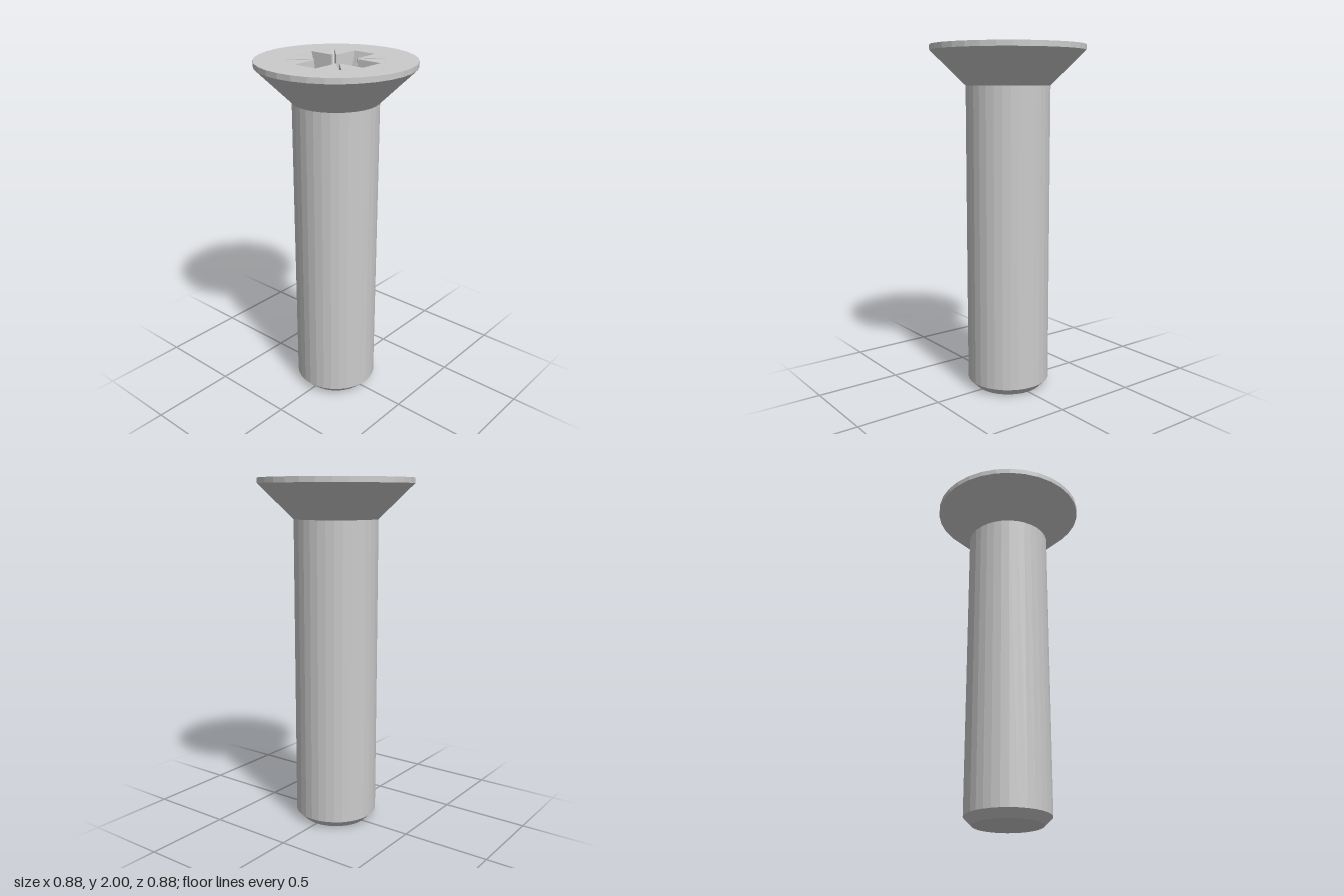
import * as THREE from 'three';

const SIDES = 32;
const HEIGHT = 2;
const SLOT_DEPTH = 0.12;
const FLOOR_DEPTH = 0.25;
const TIP_DEPTH = 0.31;

// Closed outline of the drive recess at a given depth: four tapered arms,
// four thin diagonal slots and a round centre. Closing an arm or slot pulls
// its end back onto the centre circle.
function recessOutline(depth, slotsOpen, armsOpen) {
  const t = depth / FLOOR_DEPTH;
  const radius = THREE.MathUtils.lerp(0.118, 0.106, t);
  const halfWidth = THREE.MathUtils.lerp(0.072, 0.057, t);
  const armReach = THREE.MathUtils.lerp(0.242, 0.165, t);
  const slotReach = 0.264 - 0.04 * Math.min(1, depth / SLOT_DEPTH);
  const slotHalf = 0.0085;
  const onCircle = (w) => Math.sqrt(radius * radius - w * w);
  const points = [];

  for (let quarter = 0; quarter < 4; quarter++) {
    const angle = quarter * Math.PI / 2;
    const add = (along, across, turn) => points.push(
      new THREE.Vector2(along, across).rotateAround(new THREE.Vector2(), turn));

    // arm
    add(onCircle(halfWidth), -halfWidth, angle);
    for (const s of [-1, -0.5, 0, 0.5, 1]) {
      const w = s * halfWidth;
      add(armsOpen ? armReach : onCircle(w), w, angle);
    }
    add(onCircle(halfWidth), halfWidth, angle);

    // diagonal slot
    const diagonal = angle + Math.PI / 4;
    const slotEnd = slotsOpen ? slotReach : onCircle(slotHalf);
    add(onCircle(slotHalf), -slotHalf, diagonal);
    add(slotEnd, -slotHalf, diagonal);
    add(slotEnd, slotHalf, diagonal);
    add(onCircle(slotHalf), slotHalf, diagonal);
  }
  return points;
}

// Skin the outlines from the top face down to the conical tip
function recessGeometry() {
  const levels = [
    [0, true, true],
    [SLOT_DEPTH, true, true],
    [SLOT_DEPTH, false, true],
    [FLOOR_DEPTH, false, true],
    [FLOOR_DEPTH, false, false],
  ];
  const rings = levels.map(([depth, slots, arms]) =>
    recessOutline(depth, slots, arms).map((p) => new THREE.Vector3(p.x, HEIGHT - depth, p.y)));
  rings.push(rings[0].map(() => new THREE.Vector3(0, HEIGHT - TIP_DEPTH, 0)));

  const corners = [];
  const addTriangle = (a, b, c) => {
    const area = b.clone().sub(a).cross(c.clone().sub(a)).length();
    if (area > 1e-9) corners.push(a, b, c);
  };
  for (let i = 0; i < rings.length - 1; i++) {
    const upper = rings[i];
    const lower = rings[i + 1];
    for (let j = 0; j < upper.length; j++) {
      const k = (j + 1) % upper.length;
      addTriangle(upper[j], lower[j], upper[k]);
      addTriangle(upper[k], lower[j], lower[k]);
    }
  }
  const geometry = new THREE.BufferGeometry().setFromPoints(corners);
  geometry.computeVertexNormals();
  return geometry;
}

export function createModel() {
  const group = new THREE.Group();
  group.name = 'countersunkScrew';
  const material = new THREE.MeshStandardMaterial({ color: 0xcccccc, flatShading: true });
  const addPart = (name, geometry) => {
    const mesh = new THREE.Mesh(geometry, material);
    mesh.name = name;
    group.add(mesh);
  };
  const lathe = (profile) =>
    new THREE.LatheGeometry(profile.map(([r, y]) => new THREE.Vector2(r, y)), SIDES);

  // shank with chamfered end
  addPart('shank', lathe([[0, 0], [0.195, 0], [0.24, 0.045], [0.24, 1.775]]));

  // conical head with a thin straight rim
  addPart('head', lathe([[0.24, 1.775], [0.44, 1.97], [0.44, HEIGHT]]));

  // flat top face, pierced by the recess outline
  const rim = [];
  for (let i = 0; i < SIDES; i++) {
    const a = i / SIDES * Math.PI * 2;
    rim.push(new THREE.Vector2(0.44 * Math.cos(a), 0.44 * Math.sin(a)));
  }
  const face = new THREE.Shape(rim);
  face.holes.push(new THREE.Path(recessOutline(0, true, true)));
  const faceGeometry = new THREE.ShapeGeometry(face);
  faceGeometry.rotateX(-Math.PI / 2).translate(0, HEIGHT, 0);
  addPart('topFace', faceGeometry);

  // cross-shaped drive recess
  addPart('driveRecess', recessGeometry());

  return group;
}
